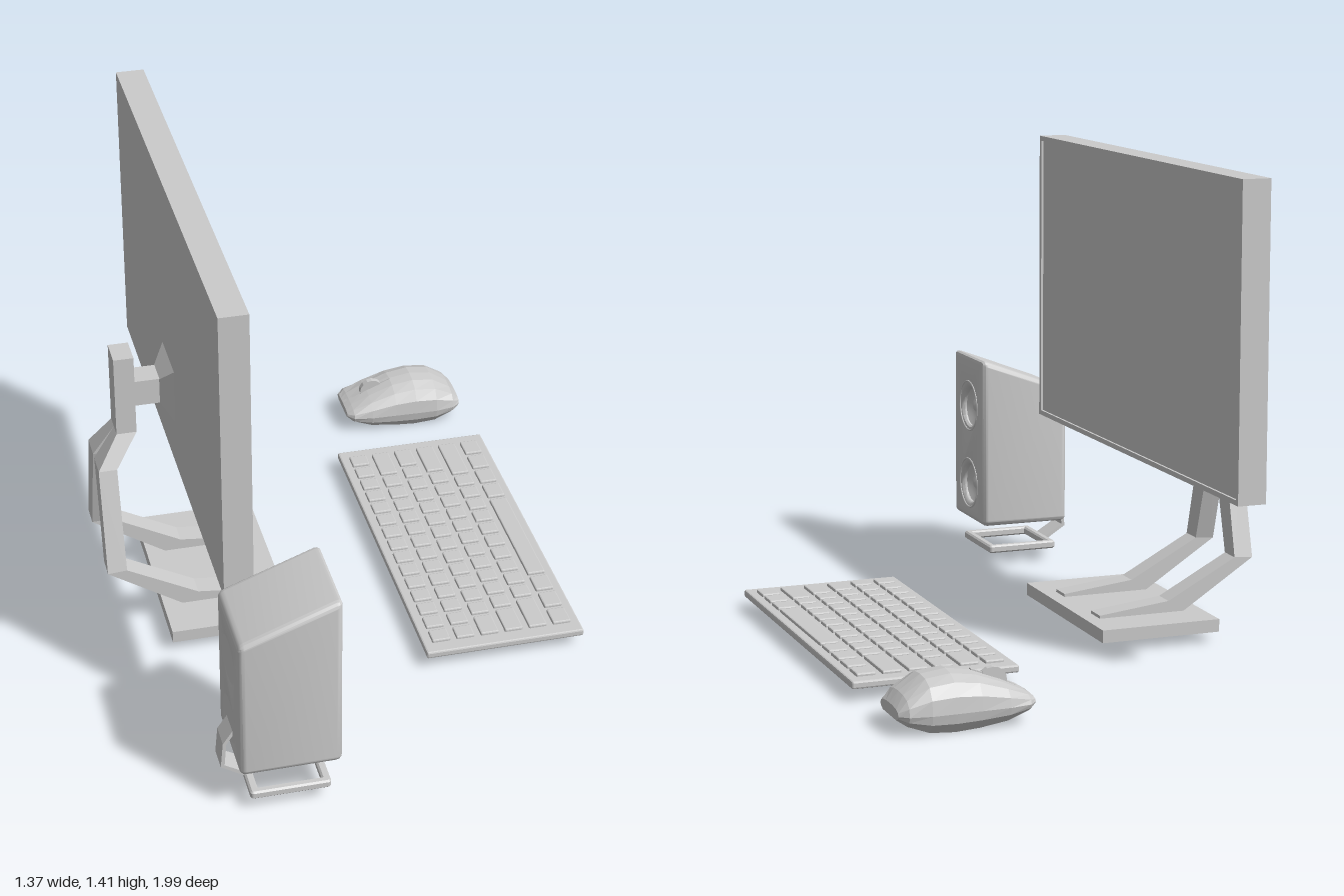
import * as THREE from 'three';
import { toCreasedNormals } from 'three/addons/utils/BufferGeometryUtils.js';
import { RoundedBoxGeometry } from 'three/addons/geometries/RoundedBoxGeometry.js';

const grey = new THREE.MeshStandardMaterial({ color: 0xcccccc, flatShading: true });
const smooth = new THREE.MeshStandardMaterial({ color: 0xcccccc });
const thin = new THREE.MeshStandardMaterial({ color: 0xcccccc, side: THREE.DoubleSide });

function add(parent, name, geometry, material = grey) {
  const mesh = new THREE.Mesh(geometry, material);
  mesh.name = name;
  parent.add(mesh);
  return mesh;
}

function group(parent, name) {
  const g = new THREE.Group();
  g.name = name;
  parent.add(g);
  return g;
}

// Box given by its minimum and maximum corners
function box(parent, name, x0, x1, y0, y1, z0, z1) {
  const mesh = add(parent, name, new THREE.BoxGeometry(x1 - x0, y1 - y0, z1 - z0));
  mesh.position.set((x0 + x1) / 2, (y0 + y1) / 2, (z0 + z1) / 2);
  return mesh;
}

// Closed skin through rings of [x, y, z] points, turned outward by its volume
function loft(rings) {
  const n = rings[0].length, last = (rings.length - 1) * n;
  const pts = rings.flat(), faces = [];
  for (let r = 0; r < rings.length - 1; r++) {
    for (let i = 0; i < n; i++) {
      const a = r * n + i, b = r * n + (i + 1) % n;
      faces.push([a, b, b + n], [a, b + n, a + n]);
    }
  }
  for (let i = 1; i < n - 1; i++) faces.push([0, i + 1, i], [last, last + i, last + i + 1]);
  const v = (i) => new THREE.Vector3(...pts[i]);
  const volume = faces.reduce((s, [a, b, c]) => s + v(a).dot(v(b).cross(v(c))), 0);
  const geo = new THREE.BufferGeometry();
  geo.setAttribute('position', new THREE.Float32BufferAttribute(pts.flat(), 3));
  geo.setIndex(faces.flatMap(([a, b, c]) => (volume < 0 ? [a, c, b] : [a, b, c])));
  geo.computeVertexNormals();
  return geo;
}

// Rectangle outline centred on cx, cy
function rect(cx, cy, w, h, Type = THREE.Shape) {
  const s = new Type(), x = w / 2, y = h / 2;
  s.moveTo(cx - x, cy - y).lineTo(cx + x, cy - y).lineTo(cx + x, cy + y).lineTo(cx - x, cy + y).closePath();
  return s;
}

function roundedRect(cx, cy, w, h, r) {
  const s = new THREE.Shape(), x = w / 2 - r, y = h / 2 - r;
  s.absarc(cx + x, cy + y, r, 0, Math.PI / 2);
  s.absarc(cx - x, cy + y, r, Math.PI / 2, Math.PI);
  s.absarc(cx - x, cy - y, r, Math.PI, Math.PI * 1.5);
  s.absarc(cx + x, cy - y, r, Math.PI * 1.5, Math.PI * 2);
  s.closePath();
  return s;
}

function buildMonitor(root) {
  const g = group(root, 'monitor');
  box(g, 'screenPanel', -0.45, -0.372, 0.508, 1.408, -0.83, 0.668);
  // Raised bezel around the screen
  const frame = rect(0, 0, 1.498, 0.9);
  frame.holes.push(rect(0, 0, 1.468, 0.87, THREE.Path));
  const bezel = add(g, 'bezel', new THREE.ExtrudeGeometry(frame, { depth: 0.007, bevelEnabled: false }).rotateY(Math.PI / 2));
  bezel.position.set(-0.372, 0.958, -0.081);

  // Stand: base plate, post, arm and flared mount
  const c = -0.09;
  box(g, 'standBase', -0.52, -0.15, 0.03, 0.068, -0.39, 0.22);
  box(g, 'standPost', -0.62, -0.56, 0.62, 0.875, c - 0.045, c + 0.045);
  box(g, 'mountArm', -0.56, -0.484, 0.708, 0.79, c - 0.04, c + 0.04);
  const square = (x, h) => [[x, 0.748 - h, c - h], [x, 0.748 + h, c - h], [x, 0.748 + h, c + h], [x, 0.748 - h, c + h]];
  add(g, 'mountPlate', loft([square(-0.486, 0.041), square(-0.45, 0.088)]));

  // Two splayed legs: rear x, y, front x, y, inner and outer offset
  const stations = [
    [-0.62, 0.62, -0.56, 0.62, 0, 0.045],
    [-0.685, 0.525, -0.63, 0.525, 0.01, 0.09],
    [-0.685, 0.213, -0.627, 0.217, 0.105, 0.173],
    [-0.45, 0.06, -0.413, 0.102, 0.105, 0.173],
    [-0.193, 0.06, -0.193, 0.077, 0.105, 0.173],
  ];
  for (const side of [1, -1]) {
    add(g, 'standLeg', loft(stations.map(([bx, by, fx, fy, i, o]) => [
      [bx, by, c + side * i], [bx, by, c + side * o], [fx, fy, c + side * o], [fx, fy, c + side * i],
    ])));
  }
}

function buildSpeaker(root) {
  const g = group(root, 'speaker');
  g.position.z = 0.855;
  const drivers = [0.515, 0.257], bevel = 0.018;

  // Cabinet with driver openings, its top sloping down to the back
  const outline = roundedRect(0, 0.41, 0.28, 0.55, 0.02);
  for (const y of drivers) outline.holes.push(new THREE.Path().absarc(0, y, 0.062, 0, Math.PI * 2, true));
  const body = new THREE.ExtrudeGeometry(outline, {
    depth: 0.29 - 2 * bevel, bevelThickness: bevel, bevelSize: bevel, bevelOffset: -bevel, bevelSegments: 3, curveSegments: 10,
  });
  body.rotateY(Math.PI / 2).translate(-0.48 + bevel, 0, 0);
  const p = body.attributes.position;
  for (let i = 0; i < p.count; i++) {
    const k = 1 - 0.2 * (-0.19 - p.getX(i)) / 0.29;
    p.setY(i, 0.135 + (p.getY(i) - 0.135) * k);
  }
  body.computeVertexNormals();
  add(g, 'cabinet', toCreasedNormals(body, 0.6), smooth);
  box(g, 'backPanel', -0.48, -0.468, 0.16, 0.55, -0.115, 0.115);

  // Driver cones with domed centres and a thin rim
  const dish = [[0, -0.018], [0.018, -0.021], [0.03, -0.032], [0.05, -0.024], [0.066, -0.014]]
    .map(([r, d]) => new THREE.Vector2(r, d));
  for (const y of drivers) {
    const cone = add(g, 'driverCone', new THREE.LatheGeometry(dish, 24).rotateZ(-Math.PI / 2), thin);
    cone.position.set(-0.19, y, 0);
    const rim = add(g, 'driverRim', new THREE.TorusGeometry(0.081, 0.003, 6, 32).rotateY(Math.PI / 2), smooth);
    rim.position.set(-0.19, y, 0);
  }

  // Open square foot and the bent strip that carries the cabinet
  const ring = roundedRect(0, 0, 0.23, 0.248, 0.01);
  ring.holes.push(rect(0, 0, 0.182, 0.2, THREE.Path));
  const foot = add(g, 'foot', new THREE.ExtrudeGeometry(ring, {
    depth: 0.015, bevelThickness: 0.005, bevelSize: 0.005, bevelOffset: -0.005, bevelSegments: 1, curveSegments: 3,
  }).rotateX(-Math.PI / 2));
  foot.position.set(-0.335, 0.045, 0.006);
  const path = [[-0.474, 0.225, -0.47, 0.215], [-0.508, 0.175, -0.498, 0.172], [-0.515, 0.095, -0.504, 0.1], [-0.445, 0.05, -0.44, 0.061]];
  add(g, 'footBracket', loft(path.map(([ax, ay, bx, by]) => [[ax, ay, -0.037], [ax, ay, 0.037], [bx, by, 0.037], [bx, by, -0.037]])));
}

function buildKeyboard(root) {
  const g = group(root, 'keyboard');
  const plate = add(g, 'keyboardPlate', new RoundedBoxGeometry(0.486, 0.022, 1.1, 1, 0.005));
  plate.position.set(0.437, 0.047, -0.064);
  // Key widths per row, from the back row to the space bar row
  const ones = (n) => Array(n).fill(1);
  const rows = [
    ones(15), [...ones(13), 2], [1.5, ...ones(12), 1.5], [1.75, ...ones(11), 2.25],
    [2.25, ...ones(10), 2.75], [1.25, 1.25, 1.25, 6.25, 1.25, 1.25, 1.25, 1.25],
  ];
  const unit = 0.0685;
  rows.forEach((row, r) => {
    let z = 0.45;
    for (const w of row) {
      const key = add(g, 'key', new RoundedBoxGeometry(0.056, 0.014, w * unit - 0.016, 1, 0.004));
      key.position.set(0.25 + r * 0.075, 0.06, z - w * unit / 2);
      z -= w * unit;
    }
  });
}

function buildMouse(root) {
  const g = group(root, 'mouse');
  g.position.z = -0.89;
  // Stations: x, half width, bottom, seam and top heights
  const stations = [
    [0.28, 0.07, 0.048, 0.058, 0.07], [0.3, 0.092, 0.035, 0.057, 0.083], [0.36, 0.1, 0.015, 0.056, 0.112],
    [0.44, 0.102, 0.004, 0.056, 0.143], [0.51, 0.104, 0, 0.056, 0.154], [0.58, 0.105, 0.005, 0.056, 0.145],
    [0.64, 0.095, 0.026, 0.056, 0.105], [0.665, 0.075, 0.042, 0.056, 0.075],
  ];
  const upper = [[1, 0], [0.95, 0.45], [0.75, 0.8], [0.4, 0.96]];
  add(g, 'mouseBody', loft(stations.map(([x, w, b, m, t]) => {
    const over = upper.map(([z, y]) => [x, m + (t - m) * y, w * z]);
    const mirrored = over.map(([px, y, z]) => [px, y, -z]).reverse();
    const under = [[-0.95, 0.5], [-0.75, 1], [0.75, 1], [0.95, 0.5]].map(([z, y]) => [x, m - (m - b) * y, w * z]);
    return [...over, [x, t, 0], ...mirrored, ...under];
  })));
  const wheel = add(g, 'scrollWheel', new THREE.CylinderGeometry(0.04, 0.04, 0.018, 16).rotateX(Math.PI / 2));
  wheel.position.set(0.378, 0.106, 0);
  // Narrow divider between the two buttons
  const strip = [[0.283, 0.073], [0.36, 0.115], [0.44, 0.146]];
  add(g, 'buttonDivider', loft(strip.map(([x, y]) => [[x, y - 0.02, -0.006], [x, y, -0.006], [x, y, 0.006], [x, y - 0.02, 0.006]])));
}

export function createModel() {
  const root = new THREE.Group();
  root.name = 'desktopSet';
  buildMonitor(root);
  buildSpeaker(root);
  buildKeyboard(root);
  buildMouse(root);
  return root;
}
